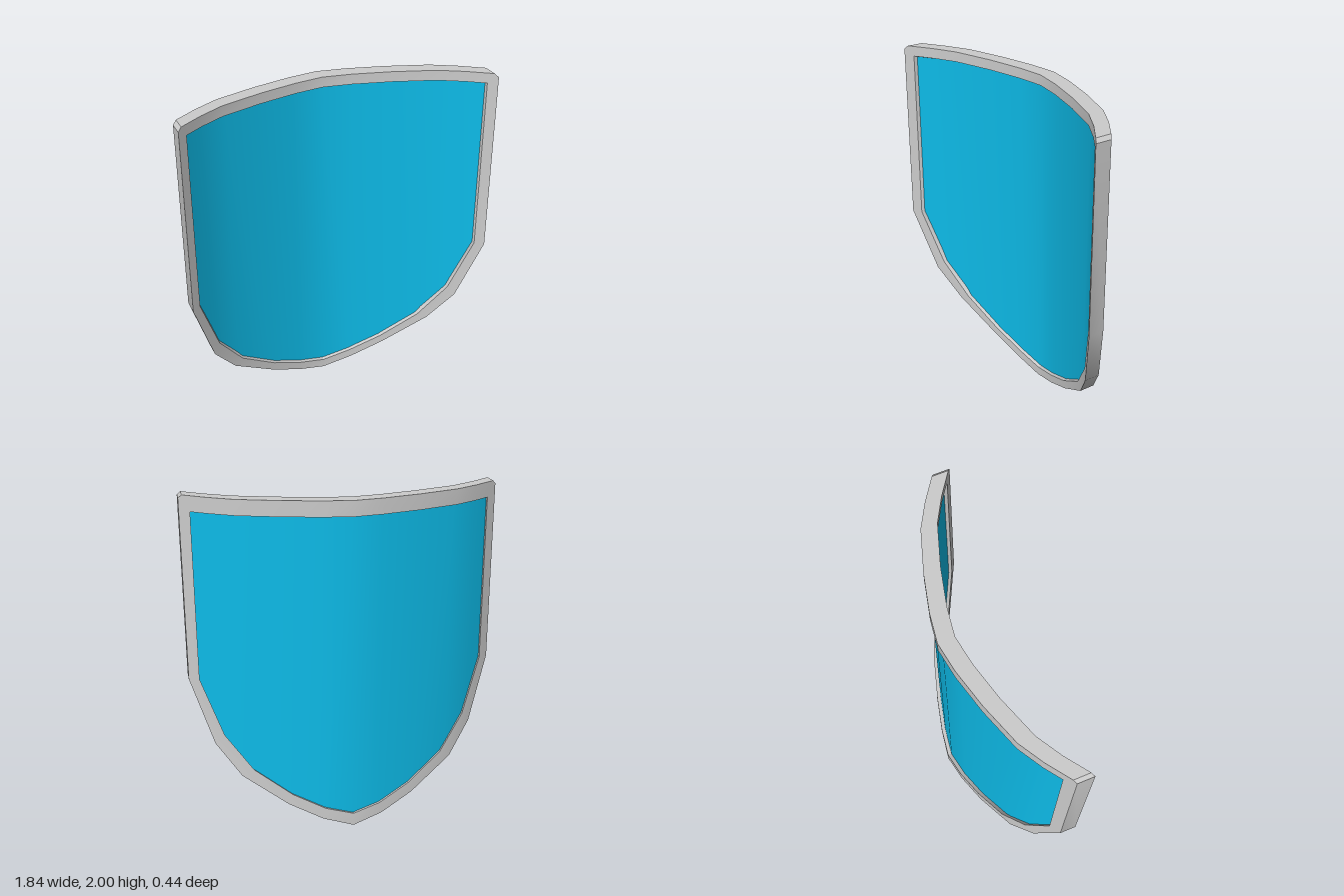
import * as THREE from 'three';
import { toCreasedNormals } from 'three/addons/utils/BufferGeometryUtils.js';

// Curvature of the shield seen from above: [x, z of the back face]
const ARC = [[0, -0.22], [0.17, -0.195], [0.39, -0.14], [0.63, -0.06], [0.77, 0.02], [0.92, 0.125]];
const DEPTH = 0.095;

function arcZ(x) {
  const ax = Math.min(Math.abs(x), 0.92);
  let i = 0;
  while (i < ARC.length - 2 && ax > ARC[i + 1][0]) i++;
  const [x0, z0] = ARC[i], [x1, z1] = ARC[i + 1];
  return z0 + ((z1 - z0) * (ax - x0)) / (x1 - x0);
}

// Half outlines from the bottom tip up the side and along the top to the middle
const OUTER = [[0, 0], [0.18, 0.05], [0.38, 0.145], [0.645, 0.32], [0.79, 0.51], [0.92, 0.9], [0.92, 1.98],
  [0.9, 2], [0.77, 2], [0.63, 2], [0.39, 2], [0.17, 2], [0, 2]];
const INNER_FRONT = [[0, 0.055], [0.17, 0.1], [0.365, 0.19], [0.59, 0.345], [0.75, 0.56], [0.87, 0.9], [0.87, 1.94],
  [0.87, 1.94], [0.77, 1.94], [0.63, 1.94], [0.39, 1.94], [0.17, 1.94], [0, 1.94]];
const INNER_BACK = [[0, 0.08], [0.165, 0.12], [0.355, 0.21], [0.575, 0.365], [0.735, 0.575], [0.86, 0.91], [0.86, 1.91],
  [0.86, 1.91], [0.77, 1.91], [0.63, 1.91], [0.39, 1.91], [0.17, 1.91], [0, 1.91]];

// Close a half outline into a full loop and lay it on the curved surface
function loop(half, lift) {
  const mirrored = half.slice(1, -1).reverse().map(([x, y]) => [-x, y]);
  return [...half, ...mirrored].map(([x, y]) => [x, y, arcZ(x) + lift]);
}

function indexed(points, index) {
  const g = new THREE.BufferGeometry();
  g.setAttribute('position', new THREE.Float32BufferAttribute(points.flat(), 3));
  g.setIndex(index);
  g.computeVertexNormals();
  return g;
}

// Four-sided bar swept around the outline
function rimGeometry() {
  const loops = [loop(OUTER, DEPTH), loop(OUTER, 0), loop(INNER_BACK, 0), loop(INNER_FRONT, DEPTH)];
  const n = loops[0].length, index = [];
  for (let k = 0; k < 4; k++) {
    for (let i = 0; i < n; i++) {
      const j = (i + 1) % n, m = (k + 1) % 4;
      const a = k * n + i, b = k * n + j, c = m * n + j, d = m * n + i;
      index.push(a, d, b, b, d, c);
    }
  }
  return toCreasedNormals(indexed(loops.flat(), index), 0.5);
}

// Curved sheet whose edge is tucked into the rim
function panelGeometry(lift, back) {
  const half = INNER_FRONT.slice(0, 6).map(([x, y], i) => [(x + OUTER[i][0]) / 2, (y + OUTER[i][1]) / 2]);
  const bottom = [...half.slice(1).reverse().map(([x, y]) => [-x, y]), ...half];
  const points = [], index = [];
  bottom.forEach(([x, y], i) => {
    const z = arcZ(x) + lift;
    points.push([x, y, z], [x, 1.96, z]);
    if (i === 0) return;
    const a = 2 * i - 2, b = a + 1, c = a + 2, d = a + 3;
    if (back) index.push(a, b, c, c, b, d);
    else index.push(a, c, b, c, d, b);
  });
  return indexed(points, index);
}

export function createModel() {
  const group = new THREE.Group();
  group.name = 'shield';
  const grey = new THREE.MeshStandardMaterial({ color: 0xcccccc });
  const blue = new THREE.MeshStandardMaterial({ color: 0x0dbbe8 });

  const add = (name, geometry, material) => {
    const mesh = new THREE.Mesh(geometry, material);
    mesh.name = name;
    group.add(mesh);
  };
  add('rim', rimGeometry(), grey);
  add('frontPanel', panelGeometry(DEPTH - 0.02, false), blue);
  add('backPanel', panelGeometry(0.025, true), blue);
  return group;
}
